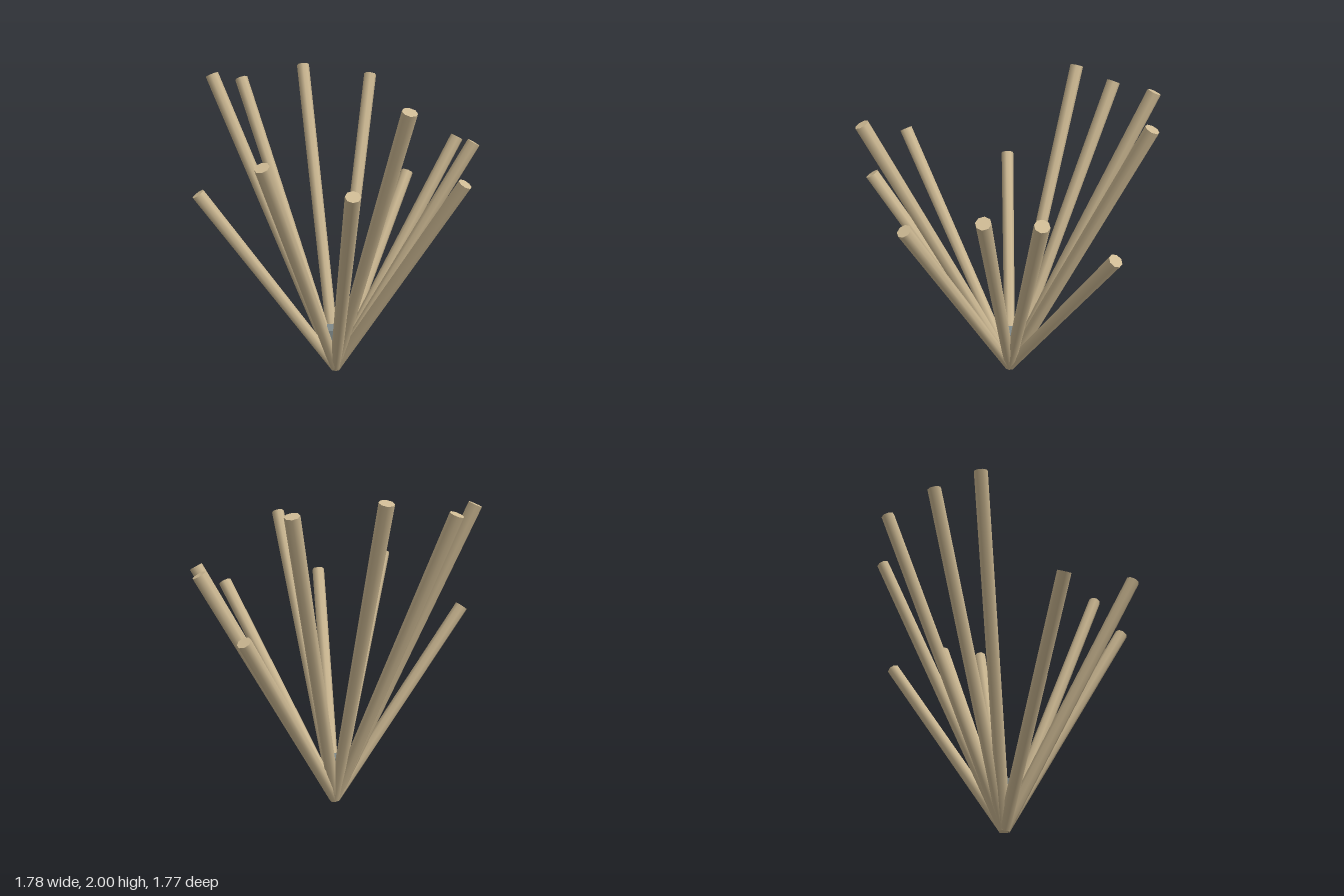
import * as THREE from 'three';

export function createModel() {
  const model = new THREE.Group();
  const wood = new THREE.MeshStandardMaterial({ color: 0xcdb993 });
  const grey = new THREE.MeshStandardMaterial({ color: 0x808a8a });
  const base = new THREE.Vector3(-0.01, 0.02, -0.015);
  const up = new THREE.Vector3(0, 1, 0);

  // Sticks fanning out from one shared base point to these tips
  const tips = [
    [-0.23, 1.98, -0.845], [0.25, 1.915, -0.835], [0.52, 1.235, -0.695],
    [0.80, 1.56, -0.31], [0.855, 1.58, -0.015], [0.725, 1.43, 0.45],
    [0.36, 1.89, 0.77], [0.07, 1.465, 0.845], [-0.405, 1.6, 0.755],
    [-0.855, 1.295, 0.14], [-0.805, 1.965, -0.34], [-0.645, 1.915, -0.595],
  ];
  tips.forEach((tip, i) => {
    const end = new THREE.Vector3(...tip);
    const axis = end.clone().sub(base);
    const stick = new THREE.Mesh(new THREE.CylinderGeometry(0.043, 0.038, axis.length(), 8), wood);
    stick.quaternion.setFromUnitVectors(up, axis.normalize());
    stick.position.copy(base).add(end).multiplyScalar(0.5);
    stick.name = `stick${i + 1}`;
    model.add(stick);
  });

  // Small block held between the sticks
  const block = new THREE.Mesh(new THREE.BoxGeometry(0.112, 0.112, 0.112), grey);
  block.position.set(base.x, 0.26, base.z);
  block.name = 'centreBlock';
  model.add(block);

  return model;
}
